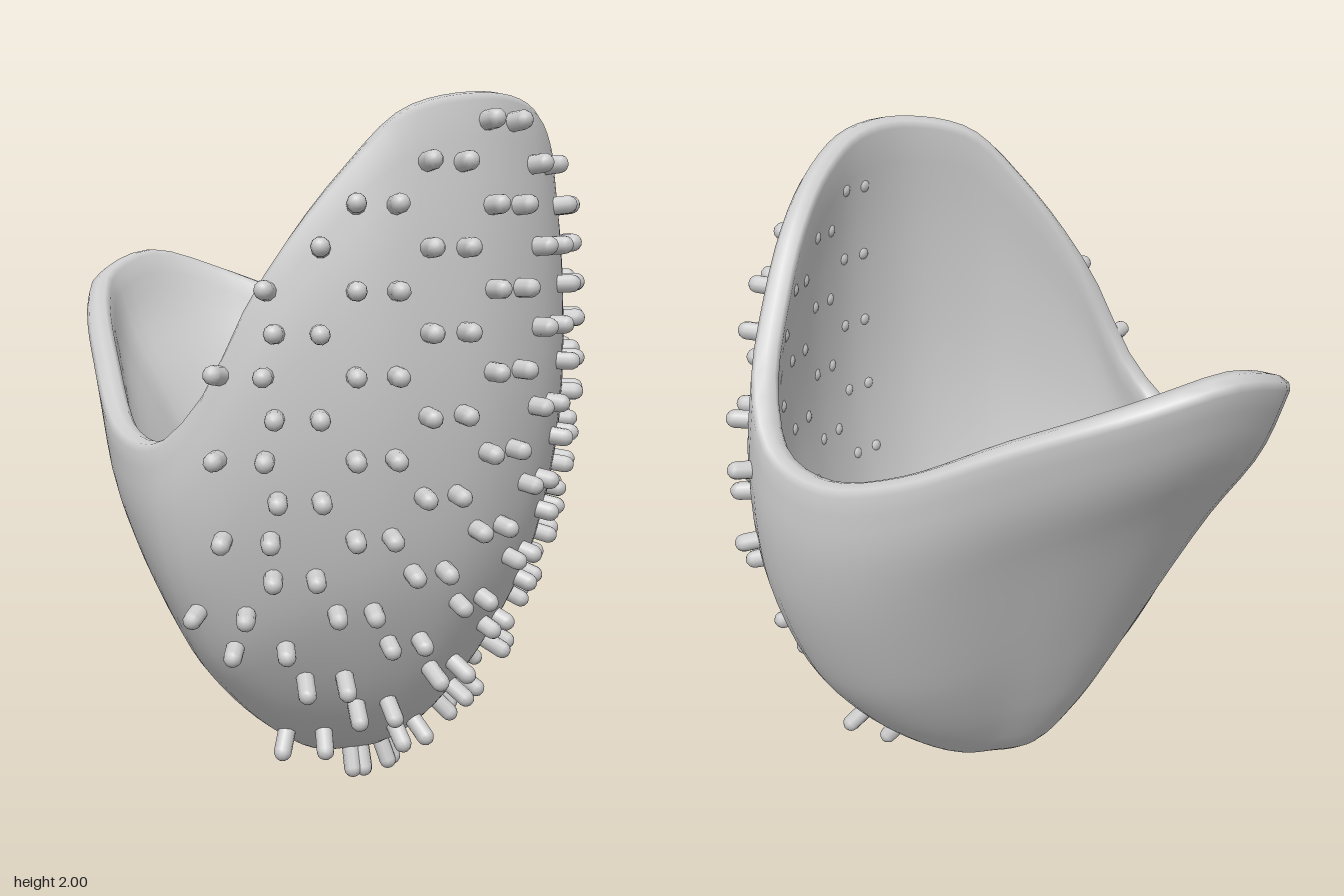
import * as THREE from 'three';

const V = (x, y, z) => new THREE.Vector3(x, y, z);
const BASE = V(0.09, 0.05, 0);
const THICK = 0.075;

// Wavy rim, going round from the tall peak
const rim = new THREE.CatmullRomCurve3([
  [0.45, 2.015, 0.445], [0.24, 1.96, 0.56], [0.06, 1.78, 0.605], [-0.14, 1.5, 0.63], [-0.29, 1.21, 0.61],
  [-0.41, 1.085, 0.555], [-0.56, 1.09, 0.36], [-0.685, 1.27, 0.05], [-0.762, 1.42, -0.23], [-0.77, 1.49, -0.43],
  [-0.64, 1.55, -0.64], [-0.41, 1.49, -0.73], [-0.1, 1.38, -0.735], [0.2, 1.26, -0.715], [0.43, 1.215, -0.65],
  [0.6, 1.26, -0.53], [0.68, 1.41, -0.38], [0.69, 1.61, -0.2], [0.675, 1.78, -0.05], [0.645, 1.91, 0.12],
  [0.58, 1.995, 0.29],
].map((p) => V(...p)), true).getPoints(420);
const rimAngles = rim.map((p) => Math.atan2(p.z - BASE.z, p.x - BASE.x));

// Profiles (outward fraction, height fraction): full belly and slanting lip
const curve = (pts) => new THREE.CatmullRomCurve3(pts.map(([f, s]) => V(f, s, 0)));
const belly = curve([[0, 0], [0.25, 0.03], [0.5, 0.1], [0.77, 0.23], [0.97, 0.38], [1.075, 0.58], [1.07, 0.8], [1, 1]]);
const slant = curve([[0, 0], [0.18, 0.05], [0.33, 0.18], [0.44, 0.31], [0.55, 0.45], [0.76, 0.7], [0.92, 0.86], [1, 1]]);

function rimAt(angle) {
  const a = Math.atan2(Math.sin(angle), Math.cos(angle));
  for (let i = 0; i < rim.length - 1; i++) {
    let d = rimAngles[i + 1] - rimAngles[i], e = a - rimAngles[i];
    d -= Math.round(d / (2 * Math.PI)) * 2 * Math.PI;
    e -= Math.round(e / (2 * Math.PI)) * 2 * Math.PI;
    if (e / d >= 0 && e / d <= 1) return rim[i].clone().lerp(rim[i + 1], e / d);
  }
  return rim[0].clone();
}

// Point on the outer wall at an angle, u from base to rim
function wall(angle, u) {
  const top = rimAt(angle).sub(BASE);
  const w = 1 - Math.pow(0.5 - 0.5 * Math.cos(angle - 0.68), 1.5);
  const q = slant.getPoint(u).lerp(belly.getPoint(u), w);
  return V(top.x * q.x, top.y * q.y, top.z * q.x).add(BASE);
}

function wallFrame(angle, u) {
  const v = Math.min(Math.max(u, 0.03), 0.98), d = 0.06;
  const up = wall(angle, v + 0.02).sub(wall(angle, v - 0.02)).normalize();
  const round = wall(angle + d, v).sub(wall(angle - d, v));
  return { up, normal: up.clone().cross(round).normalize() };
}

// The u at which the wall reaches a height
function levelAt(angle, y) {
  let lo = 0, hi = 1;
  for (let n = 0; n < 20; n++) {
    const mid = (lo + hi) / 2;
    if (wall(angle, mid).y < y) lo = mid; else hi = mid;
  }
  return lo;
}

// Outer wall, rounded lip and inner wall as one closed skin
function shellGeometry() {
  const cols = 80, steps = 26, pos = [], idx = [];
  const rows = 2 * steps + 5;
  for (let j = 0; j < rows; j++) {
    for (let i = 0; i < cols; i++) {
      const a = (i / cols) * Math.PI * 2;
      let p;
      if (j <= steps) {
        p = wall(a, (j / steps) * 0.985);
      } else {
        const inner = j >= steps + 4;
        const u = inner ? ((rows - 1 - j) / steps) * 0.985 : 0.985;
        const { up, normal } = wallFrame(a, u);
        const t = inner ? Math.PI : ((j - steps) / 4) * Math.PI;
        p = wall(a, u).addScaledVector(normal, -THICK * (0.5 - 0.5 * Math.cos(t)));
        if (!inner) p.addScaledVector(up, 0.028 * Math.sin(t));
        if (j === rows - 1) p = BASE.clone().add(V(0, THICK, 0));
      }
      pos.push(p.x, p.y, p.z);
    }
  }
  for (let j = 0; j < rows - 1; j++) {
    for (let i = 0; i < cols; i++) {
      const k = (i + 1) % cols;
      const a = j * cols + i, b = j * cols + k, c = a + cols, d = b + cols;
      if (j < rows - 2) idx.push(a, c, d);
      else idx.push(a, c, b);
      if (j > 0 && j < rows - 2) idx.push(a, d, b);
    }
  }
  const g = new THREE.BufferGeometry();
  g.setAttribute('position', new THREE.Float32BufferAttribute(pos, 3));
  g.setIndex(idx);
  g.computeVertexNormals();
  return g;
}

export function createModel() {
  const model = new THREE.Group();
  const mat = new THREE.MeshStandardMaterial({ color: 0xcccccc, side: THREE.DoubleSide });

  const shell = new THREE.Mesh(shellGeometry(), mat);
  shell.name = 'shell';
  model.add(shell);

  // Staggered rows of paired pegs over the belly
  const pegs = new THREE.Group();
  pegs.name = 'pegs';
  const radius = 0.026;
  const shortPeg = new THREE.CapsuleGeometry(radius, 0.07, 4, 10);
  const longPeg = new THREE.CapsuleGeometry(radius, 0.094, 4, 10);
  const rad = Math.PI / 180, middle = 47 * rad;
  for (let row = 0; row < 18; row++) {
    const y = 1.92 - row * 0.108;
    // Pegs keep their spacing where the belly narrows
    const p = wall(middle, levelAt(middle, y));
    const spread = THREE.MathUtils.clamp(0.56 / Math.hypot(p.x - BASE.x, p.z - BASE.z), 1, 1.9);
    for (let k = -2; k <= 2; k++) {
      for (const side of [-1, 1]) {
        const offset = Math.min((k - (row % 2) / 2) * 35.5, 65);
        const a = middle + (offset + side * 4.8) * spread * rad;
        if (a < -38 * rad || a > 128 * rad || y > rimAt(a).y - 0.055) continue;
        const u = levelAt(a, y);
        const { normal } = wallFrame(a, u);
        // Pegs on the left side reach through to the inside
        const through = a < 42 * rad;
        const peg = new THREE.Mesh(through || y < 0.45 ? longPeg : shortPeg, mat);
        peg.name = 'peg';
        const shift = y < 0.45 ? 0.015 : through ? -0.01 : 0.002;
        peg.position.copy(wall(a, u)).addScaledVector(normal, shift);
        peg.quaternion.setFromUnitVectors(V(0, 1, 0), normal);
        pegs.add(peg);
      }
    }
  }
  model.add(pegs);
  return model;
}
